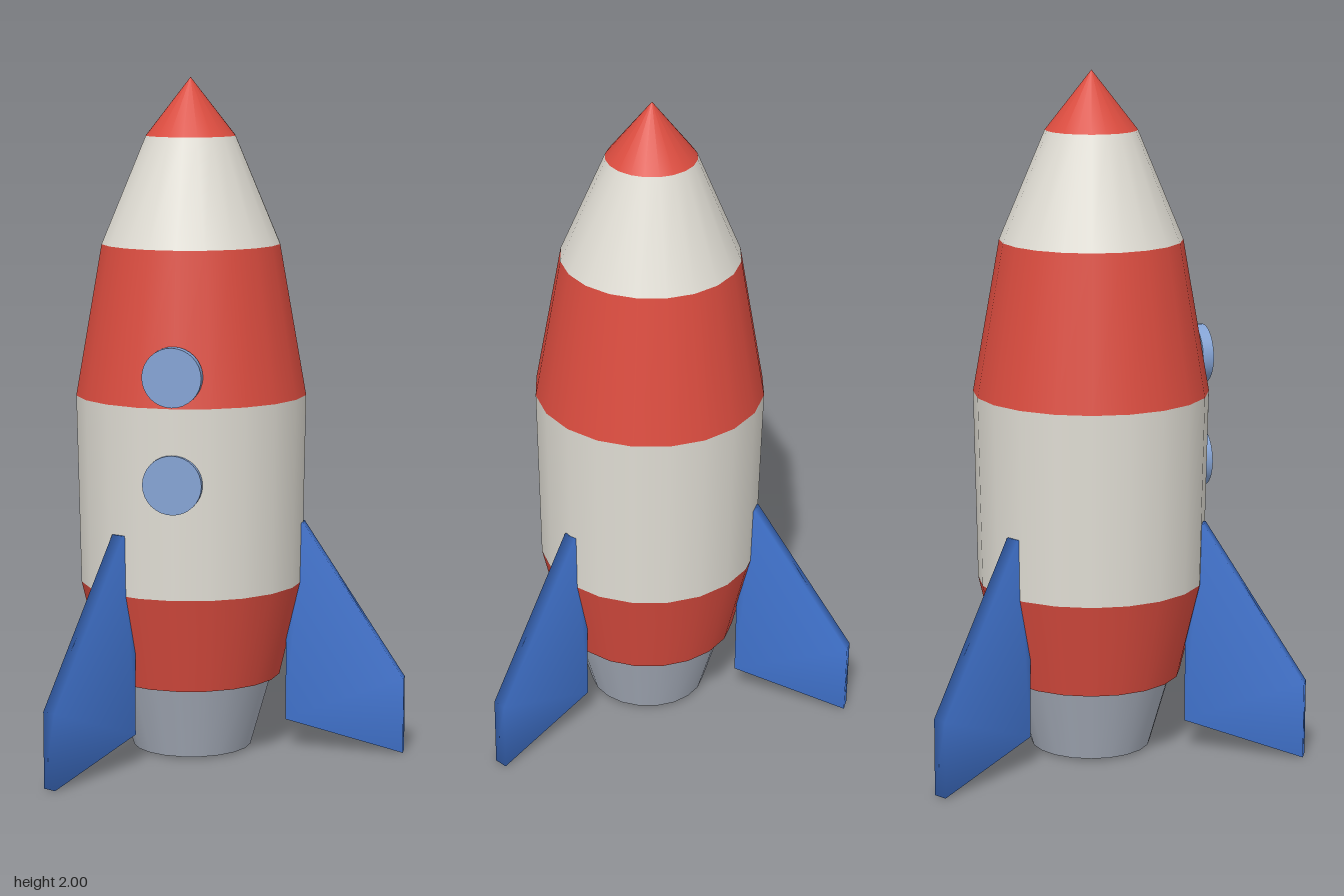
import * as THREE from 'three';
import { mergeVertices } from 'three/addons/utils/BufferGeometryUtils.js';

const SIDES = 20;

function material(name, color) {
  const m = new THREE.MeshStandardMaterial({ color });
  m.name = name;
  return m;
}

export function createModel() {
  const red = material('red', 0xdb4c3f);
  const white = material('white', 0xe0ddd4);
  const blue = material('blue', 0x4174cf);
  const glass = material('windowBlue', 0x84a3d4);
  const metal = material('metalGrey', 0xa9b0bd);

  const model = new THREE.Group();
  model.name = 'rocket';
  const rocket = new THREE.Group();
  rocket.name = 'rocketBody';
  rocket.position.x = -0.15; // the single side fin reaches further than the other two
  model.add(rocket);

  const add = (name, geometry, mat) => {
    const mesh = new THREE.Mesh(geometry, mat);
    mesh.name = name;
    rocket.add(mesh);
    return mesh;
  };

  // Open conical band between two heights
  const band = (name, r0, y0, r1, y1, mat) => {
    const g = new THREE.CylinderGeometry(r1, r0, y1 - y0, SIDES, 1, true);
    add(name, g, mat).position.y = (y0 + y1) / 2;
  };
  // Disc facing down
  const floor = (name, r, y, mat) => {
    add(name, new THREE.CircleGeometry(r, SIDES).rotateX(Math.PI / 2), mat).position.y = y;
  };

  // Hull, from tail to tip
  band('tailBand', 0.265, 0.225, 0.332, 0.51, red);
  band('middleBand', 0.332, 0.51, 0.343, 1.07, white);
  band('shoulderBand', 0.343, 1.07, 0.265, 1.515, red);
  band('noseBand', 0.265, 1.515, 0.133, 1.83, white);
  band('noseTip', 0.133, 1.83, 0, 2, red);
  floor('hullFloor', 0.265, 0.225, red);

  // Engine nozzle
  band('nozzle', 0.177, 0.005, 0.24, 0.225, metal);
  floor('nozzleFloor', 0.177, 0.005, metal);

  // Round windows
  for (const [name, y] of [['upperWindow', 1.16], ['lowerWindow', 0.85]]) {
    const g = new THREE.CylinderGeometry(0.086, 0.086, 0.033, 32).rotateX(Math.PI / 2);
    add(name, g, glass).position.set(0, y, 0.332);
  }

  // Three softly shaded fins
  const thickness = 0.042;
  const outline = new THREE.Shape([
    [0.287, 0.09], [0.64, 0], [0.64, 0.225], [0.338, 0.69], [0.287, 0.69],
  ].map(([x, y]) => new THREE.Vector2(x, y)));
  let fin = new THREE.ExtrudeGeometry(outline, { depth: thickness, bevelEnabled: false });
  fin.translate(0, 0, -thickness / 2);
  fin.deleteAttribute('normal');
  fin.deleteAttribute('uv');
  fin.clearGroups();
  fin = mergeVertices(fin);
  fin.computeVertexNormals();
  ['leftFin', 'backFin', 'frontFin'].forEach((name, i) => {
    add(name, fin, blue).rotation.y = (i * Math.PI * 2) / 3;
  });

  return model;
}
